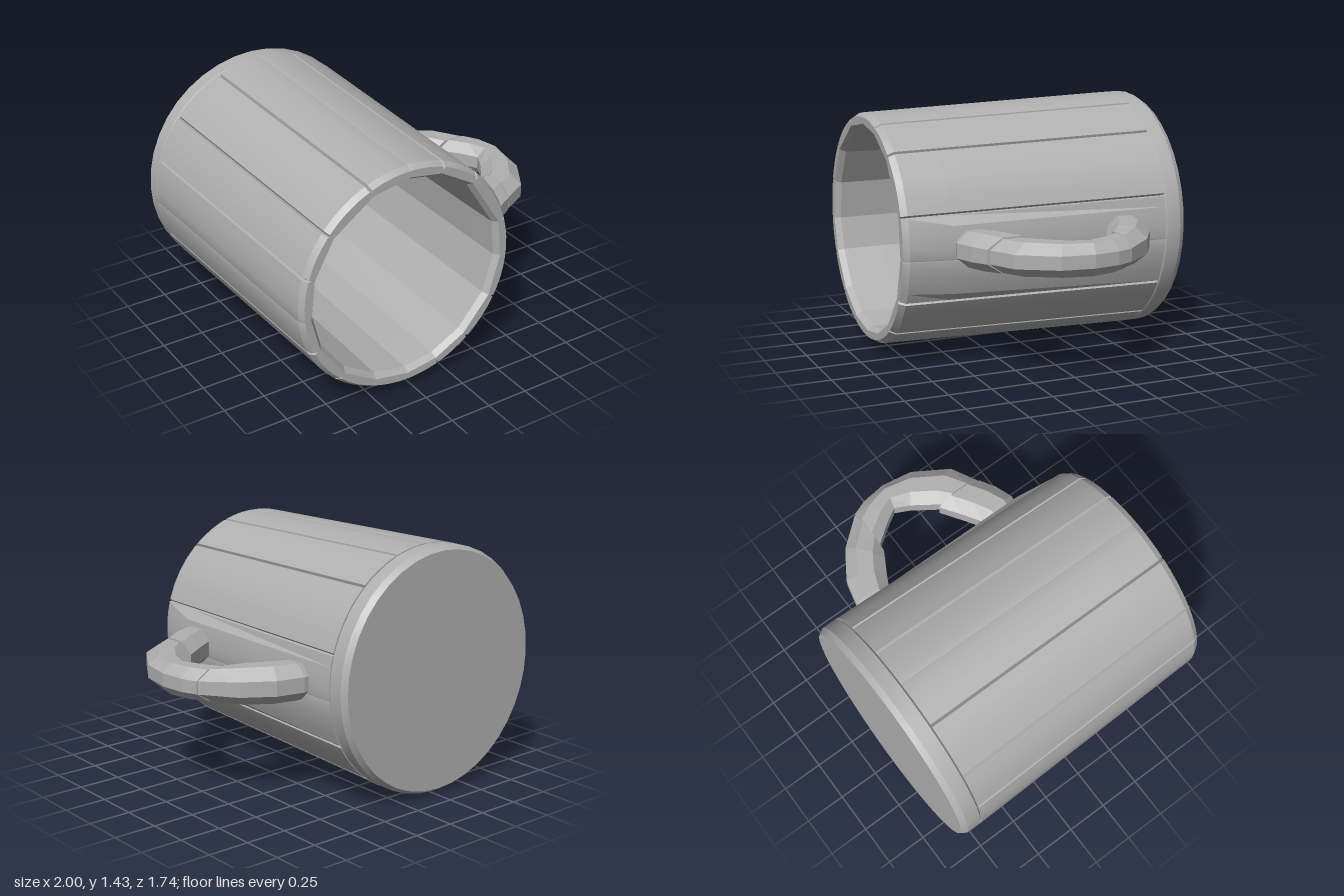
import * as THREE from 'three';
import { toCreasedNormals } from 'three/addons/utils/BufferGeometryUtils.js';

const CX = -0.283, CY = 0.72;            // centre of the barrel, its axis runs along z
const BACK = -0.74, FRONT = 0.865;       // ends of the staves
const rad = THREE.MathUtils.degToRad;

// Closed solid through a list of equal-length loops of points
function loft(rings, crease) {
  const n = rings[0].length, tris = [];
  const mid = (r) => r.reduce((s, p) => s.add(p), new THREE.Vector3()).divideScalar(n);
  const first = rings[0], last = rings[rings.length - 1];
  const c0 = mid(first), c1 = mid(last);
  for (let j = 0; j < n; j++) {
    const k = (j + 1) % n;
    for (let i = 0; i < rings.length - 1; i++) {
      const a = rings[i], b = rings[i + 1];
      tris.push([a[j], a[k], b[k]], [a[j], b[k], b[j]]);
    }
    tris.push([c0, first[k], first[j]], [c1, last[j], last[k]]);
  }
  // Turn the faces outward
  const vol = tris.reduce((s, [a, b, c]) => s + a.clone().sub(c0).dot(b.clone().sub(c0).cross(c.clone().sub(c0))), 0);
  if (vol < 0) tris.forEach((t) => t.reverse());
  const geo = new THREE.BufferGeometry().setFromPoints(tris.flat());
  geo.computeVertexNormals();
  return crease ? toCreasedNormals(geo, crease) : geo;
}

function polar(deg, r, z) {
  return new THREE.Vector3(CX + r * Math.cos(rad(deg)), CY + r * Math.sin(rad(deg)), z);
}

// Outer radius: a gentle taper, kept full beside the handle
function outerRadius(deg, z) {
  const taper = THREE.MathUtils.mapLinear(z, BACK, 0.83, 0.717, 0.677);
  return Math.abs(deg + 4) < 19 && z < 0.6 ? 0.714 : taper;
}

// One plank: curved outside, flat inside, bevelled at the rim and along open seams
function staveGeometry(a0, a1, open0, open1) {
  const stations = [
    { z: BACK, inner: 0.59 },
    { z: 0.58, inner: 0.592 },
    { z: 0.83, inner: 0.594 },
    { z: FRONT, inner: 0.618, outer: 0.656 },
  ];
  const rings = stations.map(({ z, inner, outer }) => {
    const r = (d) => outer ?? outerRadius(d, z);
    const loop = [polar(a0, r(a0) - (open0 ? 0.018 : 0.002), z)];
    const s = a0 + 0.7, e = a1 - 0.7;
    for (let i = 0; i <= 4; i++) {
      const d = s + ((e - s) * i) / 4;
      loop.push(polar(d, r(d), z));
    }
    loop.push(polar(a1, r(a1) - (open1 ? 0.018 : 0.002), z));
    loop.push(polar(a1, inner, z), polar(a0, inner, z));
    return loop;
  });
  return loft(rings, 0.35);
}

// Handle block: each section is [inner x, inner z, outer x, outer z, half height]
function handleGeometry(sections) {
  const rings = sections.map(([ix, iz, ox, oz, h]) => {
    const loop = [];
    for (let i = 0; i < 8; i++) {
      const a = rad(22.5 + i * 45), t = 0.5 + (0.5 * Math.cos(a)) / Math.cos(rad(22.5));
      loop.push(new THREE.Vector3(
        ix + (ox - ix) * t,
        CY + (h * Math.sin(a)) / Math.cos(rad(22.5)),
        iz + (oz - iz) * t
      ));
    }
    return loop;
  });
  return loft(rings);
}

export function createModel() {
  const model = new THREE.Group();
  model.name = 'mug';
  const grey = new THREE.MeshStandardMaterial({ color: 0xb0b0b0 });
  grey.name = 'grey';
  const add = (geo, name, parent = model) => {
    const mesh = new THREE.Mesh(geo, grey);
    mesh.name = name;
    parent.add(mesh);
    return mesh;
  };

  // Ring of planks of uneven widths
  const staves = new THREE.Group();
  staves.name = 'staves';
  model.add(staves);
  const seams = [-28, -5, 16, 49, 71, 90, 112, 140, 163, 185, 204, 228, 250, 270, 288, 308, 332];
  const closed = new Set([-5, 90, 185, 270]);
  for (let i = 0; i < seams.length - 1; i++) {
    const [a, b] = [seams[i], seams[i + 1]];
    add(staveGeometry(a, b, !closed.has(a), !closed.has(b)), 'stave', staves);
  }

  // Thick bottom disc with a bevelled edge
  const profile = [[0, -0.87], [0.695, -0.87], [0.717, -0.835], [0.717, -0.75], [0.702, -0.738], [0, -0.738]]
    .map(([r, y]) => new THREE.Vector2(r, y));
  const base = add(toCreasedNormals(new THREE.LatheGeometry(profile, 40), 0.3), 'base');
  base.rotation.x = Math.PI / 2;
  base.position.set(CX, CY, 0);

  // Handle in three faceted blocks
  const handle = new THREE.Group();
  handle.name = 'handle';
  model.add(handle);
  add(handleGeometry([
    [0.37, -0.38, 0.37, -0.56, 0.095],
    [0.44, -0.35, 0.46, -0.568, 0.105],
    [0.52, -0.31, 0.62, -0.53, 0.106],
    [0.6, -0.265, 0.79, -0.42, 0.105],
    [0.65, -0.238, 0.94, -0.245, 0.09],
  ]), 'handleBackBlock', handle);
  add(handleGeometry([
    [0.69, -0.24, 0.945, -0.24, 0.088],
    [0.78, -0.12, 0.98, -0.15, 0.092],
    [0.835, -0.03, 1.0, 0.0, 0.092],
    [0.79, 0.06, 0.97, 0.19, 0.092],
    [0.72, 0.16, 0.84, 0.4, 0.094],
    [0.68, 0.22, 0.685, 0.48, 0.094],
  ]), 'handleMiddleBlock', handle);
  add(handleGeometry([
    [0.675, 0.19, 0.675, 0.49, 0.1],
    [0.55, 0.275, 0.58, 0.545, 0.104],
    [0.44, 0.345, 0.47, 0.585, 0.102],
    [0.37, 0.38, 0.37, 0.56, 0.095],
  ]), 'handleFrontBlock', handle);

  return model;
}
